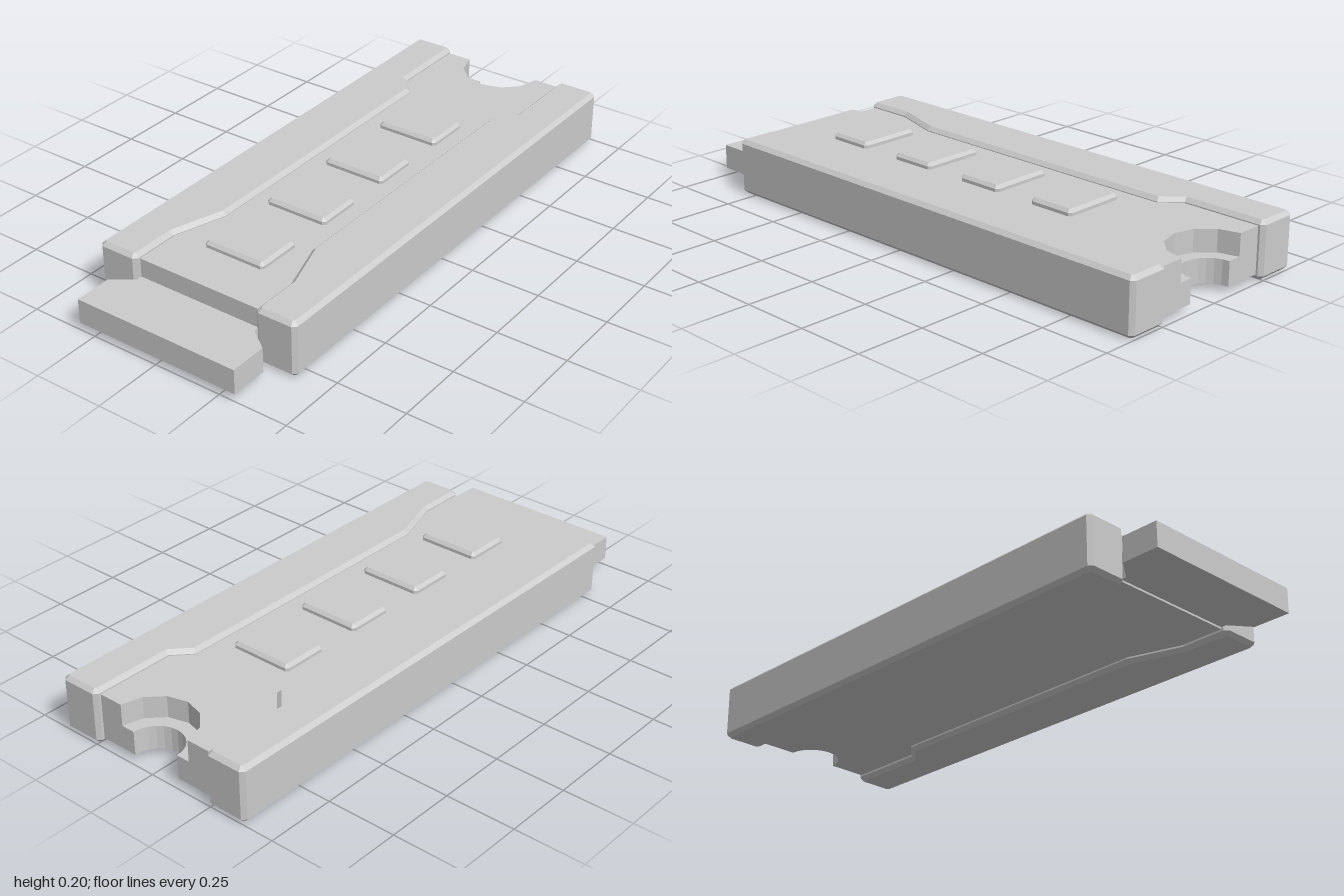
import * as THREE from 'three';

const material = new THREE.MeshStandardMaterial({ color: 0xcccccc, flatShading: true });

// Extrudes an (x, z) outline from y0 up to y1, chamfering edges inside the outline
function slab(name, outline, y0, y1, chamfer = 0) {
  const shape = new THREE.Shape(outline.map(([x, z]) => new THREE.Vector2(x, -z)));
  const geometry = new THREE.ExtrudeGeometry(shape, {
    depth: y1 - y0 - 2 * chamfer,
    bevelEnabled: chamfer > 0,
    bevelThickness: chamfer,
    bevelSize: chamfer,
    bevelOffset: -chamfer,
    bevelSegments: 1,
  });
  geometry.rotateX(-Math.PI / 2);
  geometry.translate(0, y0 + chamfer, 0);
  const mesh = new THREE.Mesh(geometry, material);
  mesh.name = name;
  return mesh;
}

// Plate outline with a round notch in its back edge
function plateOutline(radius, segments) {
  const w = 0.235, back = -0.98, front = 0.79;
  const points = [[-w, front], [w, front], [w, back]];
  for (let i = 0; i <= segments; i++) {
    const a = (i / segments) * Math.PI;
    points.push([radius * Math.cos(a), back + radius * Math.sin(a)]);
  }
  points.push([-w, back]);
  return points;
}

export function createModel() {
  const model = new THREE.Group();
  model.name = 'slottedBar';

  // Central plate in two layers, giving the notch its ledge
  model.add(slab('plateLower', plateOutline(0.095, 12), 0.02, 0.105));
  model.add(slab('plateUpper', plateOutline(0.145, 6), 0.105, 0.183));

  // Flared tongue at the front
  model.add(slab('tongue', [
    [-0.235, 0.79], [-0.235, 0.81], [-0.31, 0.865], [-0.31, 1],
    [0.31, 1], [0.31, 0.865], [0.235, 0.81], [0.235, 0.79],
  ], 0.027, 0.115));

  // Side rails, wider along the middle, with cut corners
  const c = 0.014;
  const rail = [
    [0.39, -1 + c], [0.39, 0.81 - c], [0.39 - c, 0.81],
    [0.237 + c, 0.81], [0.237, 0.81 - c], [0.237, 0.63],
    [0.176, 0.44], [0.176, -0.625], [0.237, -0.69],
    [0.237, -1 + c], [0.237 + c, -1], [0.39 - c, -1],
  ];
  for (const [name, side] of [['leftRail', 1], ['rightRail', -1]]) {
    model.add(slab(name, rail.map(([x, z]) => [side * x, z]), 0, 0.2, c));
  }

  // Four raised pads down the middle
  const px = 0.118, pz = 0.087, k = 0.01;
  const pad = [
    [-px + k, -pz], [px - k, -pz], [px, -pz + k], [px, pz - k],
    [px - k, pz], [-px + k, pz], [-px, pz - k], [-px, -pz + k],
  ];
  for (let i = 0; i < 4; i++) {
    const mesh = slab('pad' + (i + 1), pad, 0.165, 0.205, 0.011);
    mesh.position.z = -0.428 + i * 0.32;
    model.add(mesh);
  }

  return model;
}
